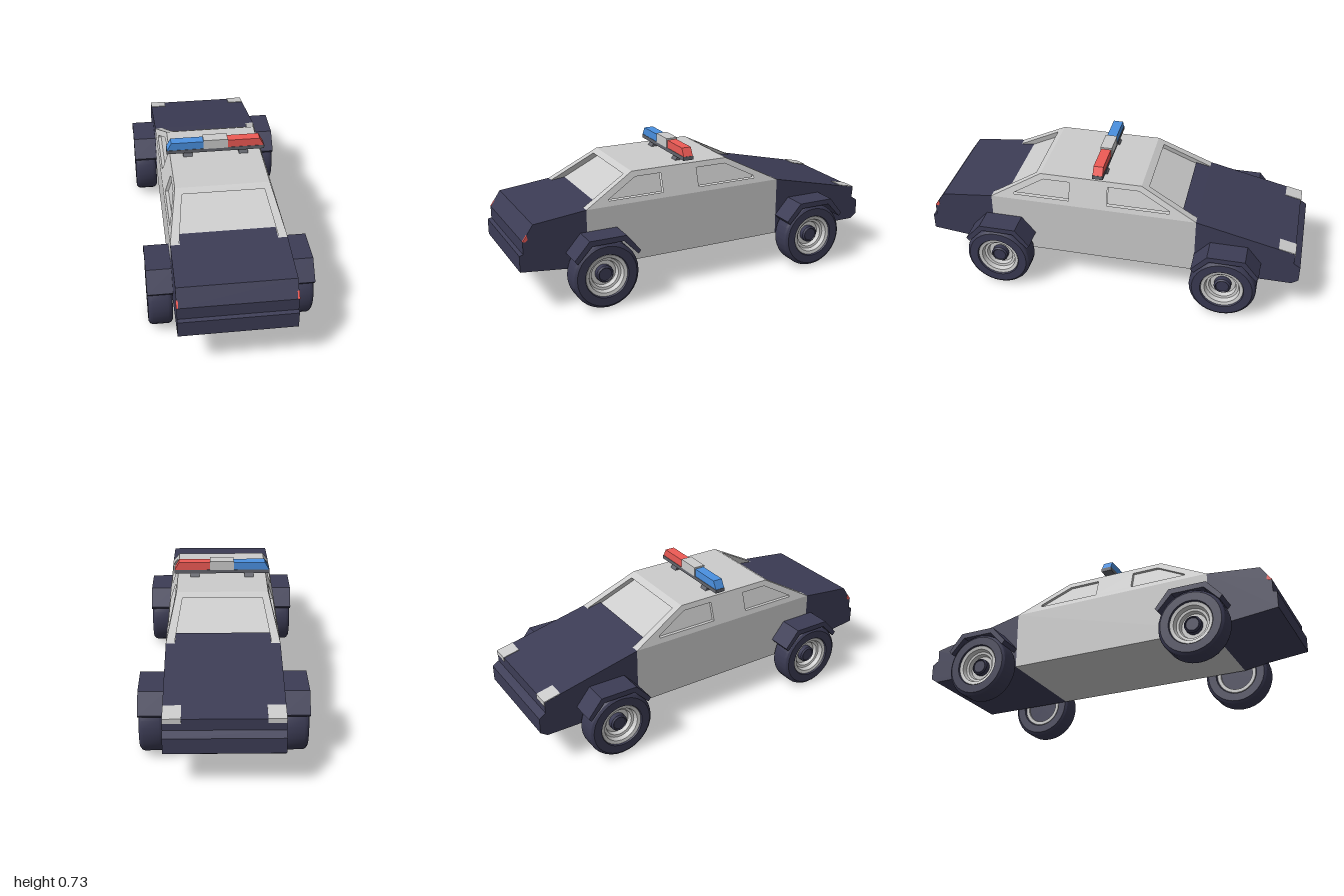
import * as THREE from 'three';
import { toCreasedNormals } from 'three/addons/utils/BufferGeometryUtils.js';

const mat = (color, flatShading = true) => new THREE.MeshStandardMaterial({ color, flatShading });
const grey = mat(0xcccccc), navy = mat(0x3c3c55), red = mat(0xee5a55), blue = mat(0x4a90e0);
const barGrey = mat(0x62646c), rimGrey = mat(0xcccccc, false), tyreNavy = mat(0x3a3a52, false);

const shapeOf = pts => new THREE.Shape(pts.map(p => new THREE.Vector2(...p)));
const extrude = (shape, depth) => new THREE.ExtrudeGeometry(shape, { depth, bevelEnabled: false });

// Extrudes a (z, y) profile across x from x0 to x1
function across(pts, x0, x1) {
  const g = extrude(shapeOf(pts.map(([z, y]) => [-z, y])), x1 - x0);
  return g.rotateY(Math.PI / 2).translate(x0, 0, 0);
}

// Leans a flat geometry: shifts one axis by a rule of height
function lean(g, axis, rule) {
  const p = g.attributes.position;
  for (let i = 0; i < p.count; i++) {
    p.setComponent(i, axis, p.getComponent(i, axis) + rule(p.getY(i)));
  }
  g.computeVertexNormals();
  return g;
}

const W = 0.288, SILL = 0.49, ROOF = 0.64;
const REAR = 0.65, FRONT = -0.45, ROOF_REAR = 0.385, ROOF_FRONT = -0.155;

export function createModel() {
  const car = new THREE.Group();
  car.name = 'patrolCar';
  const add = (name, geo, material, parent = car) => {
    const m = new THREE.Mesh(geo, material);
    m.name = name;
    parent.add(m);
    return m;
  };

  // Lower body in three sections
  add('rearBody', across([[REAR, 0.18], [0.77, 0.2], [1, 0.225], [1, 0.31], [0.98, 0.315],
    [0.98, 0.38], [0.925, 0.46], [REAR, SILL]], -W, W), navy);
  add('middleBody', across([[FRONT, 0.18], [REAR, 0.18], [REAR, SILL], [FRONT, SILL]], -W, W), grey);
  add('noseBody', across([[FRONT, SILL], [-0.965, 0.37], [-0.965, 0.31], [-1, 0.287],
    [-1, 0.205], [-0.965, 0.18], [FRONT, 0.18]], -W, W), navy);

  // Decks running into the window recesses
  add('rearDeck', across([[REAR, SILL], [0.57, 0.499], [0.57, 0.48], [REAR, 0.48]], -0.241, 0.241), navy);
  add('noseDeck', across([[FRONT, SILL], [-0.37, 0.508], [-0.37, 0.48], [FRONT, 0.48]], -0.241, 0.241), navy);

  // Cabin sides with recessed windows, leaning inwards
  const wallDepth = 0.02;
  const sideLean = y => W - (y - SILL) * 0.32;
  const wallPts = [[REAR, SILL], [ROOF_REAR, ROOF], [ROOF_FRONT, ROOF], [FRONT, SILL]];
  const windows = [
    [[0.527, 0.516], [0.527, 0.534], [0.515, 0.545], [0.385, 0.612], [0.227, 0.612], [0.227, 0.516]],
    [[0.023, 0.516], [0.023, 0.612], [-0.17, 0.612], [-0.3, 0.544], [-0.31, 0.534], [-0.31, 0.516]],
  ];
  for (const s of [1, -1]) {
    const local = pts => pts.map(([z, y]) => [-z * s, y]);
    const wall = shapeOf(local(wallPts));
    wall.holes = windows.map(w => new THREE.Path(local(w).map(p => new THREE.Vector2(...p))));
    const place = (g, dx) => lean(g.rotateY(Math.PI / 2), 0, y => sideLean(y) - dx)
      .rotateY(s > 0 ? 0 : Math.PI);
    const side = s > 0 ? 'left' : 'right';
    add(side + 'CabinWall', place(extrude(wall, wallDepth), wallDepth), grey);
    windows.forEach((w, i) => add(side + 'Window' + (i + 1),
      place(new THREE.ShapeGeometry(shapeOf(local(w))), wallDepth * 0.85), grey));
  }

  // Sloped end frames and their recessed glass
  const frame = [[-W, SILL], [-0.245, SILL], [-0.208, 0.622], [0.208, 0.622], [0.245, SILL],
    [W, SILL], [0.24, ROOF], [-0.24, ROOF]];
  const pane = frame.slice(1, 5);
  const ends = [['rear', REAR, ROOF_REAR, 0], ['nose', -FRONT, -ROOF_FRONT, Math.PI]];
  for (const [name, low, high, turn] of ends) {
    const slope = y => low - (y - SILL) * (low - high) / (ROOF - SILL);
    const place = (g, dz) => lean(g, 2, y => slope(y) - dz).rotateY(turn);
    add(name + 'WindowFrame', place(extrude(shapeOf(frame), 0.065), 0.065), grey);
    add(name + 'Glass', place(new THREE.ShapeGeometry(shapeOf(pane)), 0.06), grey);
  }
  add('roof', across([[ROOF_REAR, ROOF], [ROOF_FRONT, ROOF], [ROOF_FRONT, 0.632], [ROOF_REAR, 0.632]],
    -0.24, 0.24), grey);

  // Corner lamps
  const headlamp = [[-0.968, 0.348], [-0.968, 0.373], [-0.88, 0.393], [-0.88, 0.37]];
  const tailLamp = [[0.98, 0.381], [0.958, 0.412], [0.954, 0.388], [0.965, 0.378]];
  for (const s of [1, -1]) {
    const span = (pts, a, b) => across(pts, Math.min(s * a, s * b), Math.max(s * a, s * b));
    add('headlamp', span(headlamp, 0.2, 0.287), grey);
    add('tailLamp', span(tailLamp, 0.28, 0.29), red);
  }

  // Wheels and flared fenders
  const lathe = (pts, n = 32) => toCreasedNormals(
    new THREE.LatheGeometry(pts.map(p => new THREE.Vector2(...p)), n).rotateZ(-Math.PI / 2), 0.4);
  const tyre = lathe([[0.11, -0.05], [0.115, -0.06], [0.158, -0.061], [0.17, -0.052], [0.175, -0.04],
    [0.175, 0.04], [0.17, 0.052], [0.158, 0.061], [0.115, 0.061], [0.108, 0.045]]);
  const rim = lathe([[0.115, 0.045], [0.11, 0.054], [0.093, 0.05], [0.085, 0.028], [0.072, 0.026],
    [0.066, 0.004], [0, 0.004]]);
  const innerDisc = lathe([[0, -0.045], [0.112, -0.045]]);
  const innerRing = lathe([[0.088, -0.045], [0.09, -0.053], [0.108, -0.053], [0.112, -0.045]]);
  const hub = lathe([[0.045, 0], [0.045, 0.03], [0.037, 0.038], [0.033, 0.033], [0, 0.033]], 20);
  const arch = [[0.168, 0.285], [0.088, 0.375], [-0.107, 0.375], [-0.182, 0.283],
    [-0.168, 0.266], [-0.092, 0.347], [0.075, 0.347], [0.152, 0.266]];
  for (const z of [0.597, -0.617]) {
    for (const s of [1, -1]) {
      const wheel = new THREE.Group();
      wheel.name = (z > 0 ? 'rear' : 'nose') + (s > 0 ? 'Left' : 'Right') + 'Wheel';
      wheel.position.set(s * 0.352, 0.175, z);
      wheel.rotation.y = s > 0 ? 0 : Math.PI;
      add('tyre', tyre, tyreNavy, wheel);
      add('rim', rim, rimGrey, wheel);
      add('hub', hub, tyreNavy, wheel);
      add('innerDisc', innerDisc, tyreNavy, wheel);
      add('innerRing', innerRing, rimGrey, wheel);
      car.add(wheel);
      const pts = arch.map(([dz, y]) => [z + dz, y]);
      add('fender', s > 0 ? across(pts, 0.28, 0.415) : across(pts, -0.415, -0.28), navy);
    }
  }

  // Roof light bar
  const bar = new THREE.Group();
  bar.name = 'lightBar';
  bar.position.z = 0.073;
  car.add(bar);
  const block = (name, w, h, d, x, y, m) =>
    add(name, new THREE.BoxGeometry(w, h, d).translate(x, y, 0), m, bar);
  block('barBase', 0.516, 0.02, 0.056, 0, 0.67, barGrey);
  block('barCentre', 0.128, 0.051, 0.062, 0, 0.7055, grey);
  for (const s of [1, -1]) {
    add('barFoot', across([[-0.034, 0.638], [0.034, 0.638], [0.018, 0.661], [-0.018, 0.661]],
      s * 0.147 - 0.024, s * 0.147 + 0.024), barGrey, bar);
    const lamp = shapeOf([[s * 0.06, 0.68], [s * 0.256, 0.68], [s * 0.233, 0.722], [s * 0.06, 0.722]]);
    add(s > 0 ? 'redLamp' : 'blueLamp', extrude(lamp, 0.052).translate(0, 0, -0.026), s > 0 ? red : blue, bar);
  }
  return car;
}
